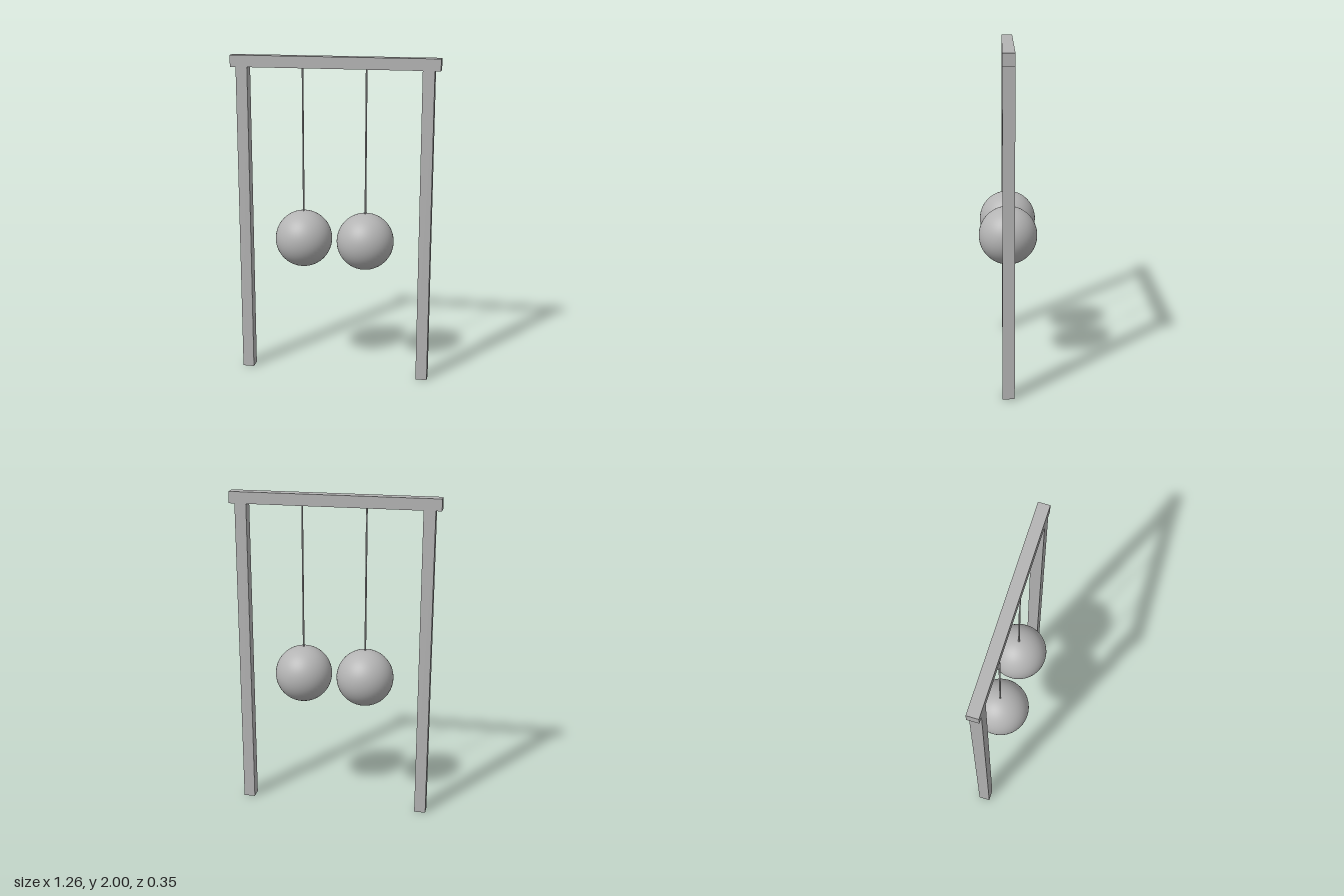
import * as THREE from 'three';

export function createModel() {
  const group = new THREE.Group();
  const grey = new THREE.MeshStandardMaterial({ color: 0xb4b4b4 });
  grey.name = 'grey';

  const u = 2 / 28.5; // beam thickness; all sizes are multiples of it

  const add = (name, geometry, x, y) => {
    const mesh = new THREE.Mesh(geometry, grey);
    mesh.name = name;
    mesh.position.set(x * u, y * u, 0);
    group.add(mesh);
  };

  // Top beam, overhanging the posts
  add('topBeam', new THREE.BoxGeometry(18 * u, u, u), 0, 28);

  for (const [side, s] of [['left', 1], ['right', -1]]) {
    // Upright post
    add(side + 'Post', new THREE.BoxGeometry(u, 27.5 * u, u), s * 8, 13.75);
    // Hanging ball
    add(side + 'Ball', new THREE.SphereGeometry(2.5 * u, 48, 32), s * 2.75, 12.5);
    // Cord from the beam into the top of the ball
    add(side + 'Cord', new THREE.CylinderGeometry(0.075 * u, 0.075 * u, 12.6 * u, 12), s * 2.75, 21.2);
  }
  return group;
}
